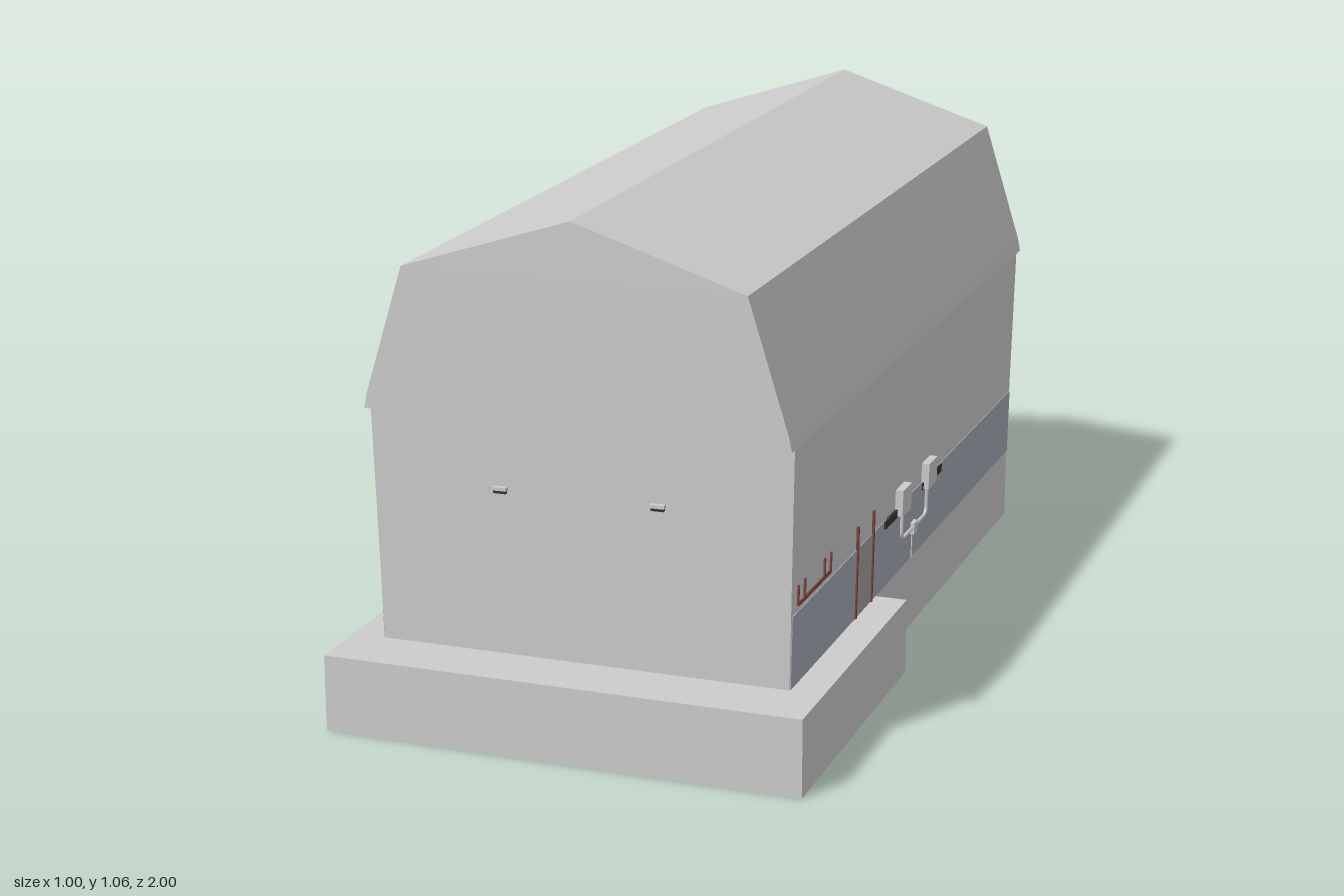
import * as THREE from 'three';
import { toCreasedNormals } from 'three/addons/utils/BufferGeometryUtils.js';

const paint = (color, side = THREE.FrontSide) => new THREE.MeshStandardMaterial({ color, side });
const grey = paint(0xcccccc);
const greyShell = paint(0xcccccc, THREE.DoubleSide);
const blue = paint(0xa6aab5);
const doorGrey = paint(0xa2a09e);
const rust = paint(0x7a4038);
const black = paint(0x333333);
const pale = paint(0xd8d8d4);

function add(parent, name, geometry, material = grey) {
  const mesh = new THREE.Mesh(geometry, material);
  mesh.name = name;
  parent.add(mesh);
  return mesh;
}

// Box given by its lower and upper limits on each axis
function box(parent, name, [x0, x1], [y0, y1], [z0, z1], material) {
  const mesh = add(parent, name, new THREE.BoxGeometry(x1 - x0, y1 - y0, z1 - z0), material);
  mesh.position.set((x0 + x1) / 2, (y0 + y1) / 2, (z0 + z1) / 2);
  return mesh;
}

// Hollow box without a bottom
function shell(parent, name, x, y, z) {
  const mesh = box(parent, name, x, y, z, greyShell);
  const index = Array.from(mesh.geometry.index.array);
  index.splice(18, 6); // the face that points down
  mesh.geometry.setIndex(index);
  mesh.geometry.clearGroups();
  return mesh;
}

// Rail with short uprights standing on it
function rail(parent, z0, z1) {
  const group = new THREE.Group();
  group.name = 'wallRail';
  box(group, 'railBar', [0, 0.004], [0.162, 0.168], [z0, z1], rust);
  for (const z of [z0, z0 + 0.04, z1 - 0.04, z1]) {
    box(group, 'railUpright', [0, 0.004], [0.165, 0.205], [z - 0.002, z + 0.002], rust);
  }
  parent.add(group);
}

// Painted band, interrupted by a doorway between two posts; local x points outward
function sideBand(parent, z0, z1, d0, d1) {
  box(parent, 'paintedBand', [-0.002, 0.002], [0, 0.15], [z0, d0], blue);
  box(parent, 'paintedBand', [-0.002, 0.002], [0, 0.15], [d1, z1], blue);
  box(parent, 'doorPanel', [-0.002, 0.002], [0, 0.15], [d0, d1], doorGrey);
  for (const z of [d0, d1]) {
    box(parent, 'doorPost', [0, 0.005], [0, 0.2], [z - 0.003, z + 0.003], rust);
  }
}

export function createModel() {
  const model = new THREE.Group();
  model.name = 'gambrelRoofHall';

  // Foundation and front platform, both open underneath
  shell(model, 'foundation', [-0.43, 0.43], [0, 0.16], [-0.785, 0.305]);
  shell(model, 'frontPlatform', [-0.5, 0.5], [0, 0.16], [0.305, 1]);

  // Walls lean outward a little toward the eaves
  const walls = box(model, 'walls', [-0.43, 0.43], [0.16, 0.65], [-0.785, 0.868]);
  const p = walls.geometry.attributes.position;
  for (let i = 0; i < p.count; i++) {
    if (p.getY(i) > 0) {
      p.setX(i, p.getX(i) + Math.sign(p.getX(i)) * 0.011);
      p.setZ(i, p.getZ(i) + Math.sign(p.getZ(i)) * 0.008);
    }
  }
  walls.geometry.computeVertexNormals();

  // Gambrel roof with closed gables
  const half = [[0.443, 0.65], [0.437, 0.68], [0.355, 0.945]];
  const outline = [...half, [0, 1.06], ...half.map(([x, y]) => [-x, y]).reverse()];
  const roof = new THREE.ExtrudeGeometry(
    new THREE.Shape(outline.map(([x, y]) => new THREE.Vector2(x, y))),
    { depth: 1.72, bevelEnabled: false }
  );
  roof.translate(0, 0, -0.82);
  add(model, 'roof', toCreasedNormals(roof, 0.5));

  // Rear annex with cap and corner guards
  shell(model, 'annex', [-0.17, 0.235], [0, 0.585], [-0.995, -0.8]);
  box(model, 'annexCap', [-0.175, 0.24], [0.585, 0.605], [-1, -0.79]);
  for (const x of [-0.17, 0.235]) {
    box(model, 'annexCornerGuard', [x - 0.004, x + 0.004], [0, 0.16], [-0.999, -0.985]);
  }

  // Small lamps on both gable walls
  for (const x of [-0.165, 0.165]) {
    for (const [z0, z1] of [[0.87, 0.885], [-0.795, -0.785]]) {
      box(model, 'lampHood', [x - 0.015, x + 0.015], [0.504, 0.511], [z0, z1]);
      box(model, 'lampGlass', [x - 0.013, x + 0.013], [0.498, 0.504], [z0, z1 - 0.002], black);
    }
  }

  // Details on the left wall, in a frame that leans with it
  const lean = Math.atan2(0.011, 0.49);
  const left = new THREE.Group();
  left.name = 'leftWallDetails';
  left.position.set(0.43, 0.16, 0);
  left.rotation.z = -lean;
  model.add(left);
  sideBand(left, -0.785, 0.866, 0.34, 0.45);
  rail(left, 0.63, 0.835);

  // Two meter boxes with dark ledges, joined by a pipe
  for (const [z, z0, z1] of [[0.142, 0.11, 0.26], [-0.058, -0.17, -0.025]]) {
    box(left, 'meterBox', [0, 0.017], [0.135, 0.193], [z - 0.032, z + 0.032], pale);
    box(left, 'darkLedge', [0, 0.006], [0.133, 0.15], [z0, z1], black);
  }
  const path = new THREE.CurvePath();
  const at = (y, z) => new THREE.Vector3(0.005, y, z);
  path.add(new THREE.LineCurve3(at(0.135, 0.135), at(0.09, 0.135)));
  path.add(new THREE.QuadraticBezierCurve3(at(0.09, 0.135), at(0.07, 0.135), at(0.07, 0.115)));
  path.add(new THREE.LineCurve3(at(0.07, 0.115), at(0.07, -0.035)));
  path.add(new THREE.QuadraticBezierCurve3(at(0.07, -0.035), at(0.07, -0.055), at(0.09, -0.055)));
  path.add(new THREE.LineCurve3(at(0.09, -0.055), at(0.135, -0.055)));
  add(left, 'meterPipe', new THREE.TubeGeometry(path, 60, 0.004, 8), pale);
  box(left, 'junctionBox', [0, 0.011], [0.057, 0.083], [0.03, 0.056], pale);
  box(left, 'downPipe', [0, 0.004], [0, 0.06], [0.041, 0.045], pale);

  // Details on the right wall; its frame is turned, so z runs backward
  const right = new THREE.Group();
  right.name = 'rightWallDetails';
  right.position.set(-0.43, 0.16, 0);
  right.rotation.set(0, Math.PI, lean, 'ZYX');
  model.add(right);
  sideBand(right, -0.866, 0.785, -0.72, -0.615);
  rail(right, -0.55, -0.34);
  rail(right, -0.28, -0.08);

  // Small tap near the rear corner
  for (const y of [0.045, 0.07]) {
    box(right, 'tapFlange', [0, 0.008], [y - 0.008, y + 0.008], [0.67, 0.7], pale);
  }
  box(right, 'tapPipe', [0, 0.005], [0.035, 0.08], [0.682, 0.688], pale);

  return model;
}
